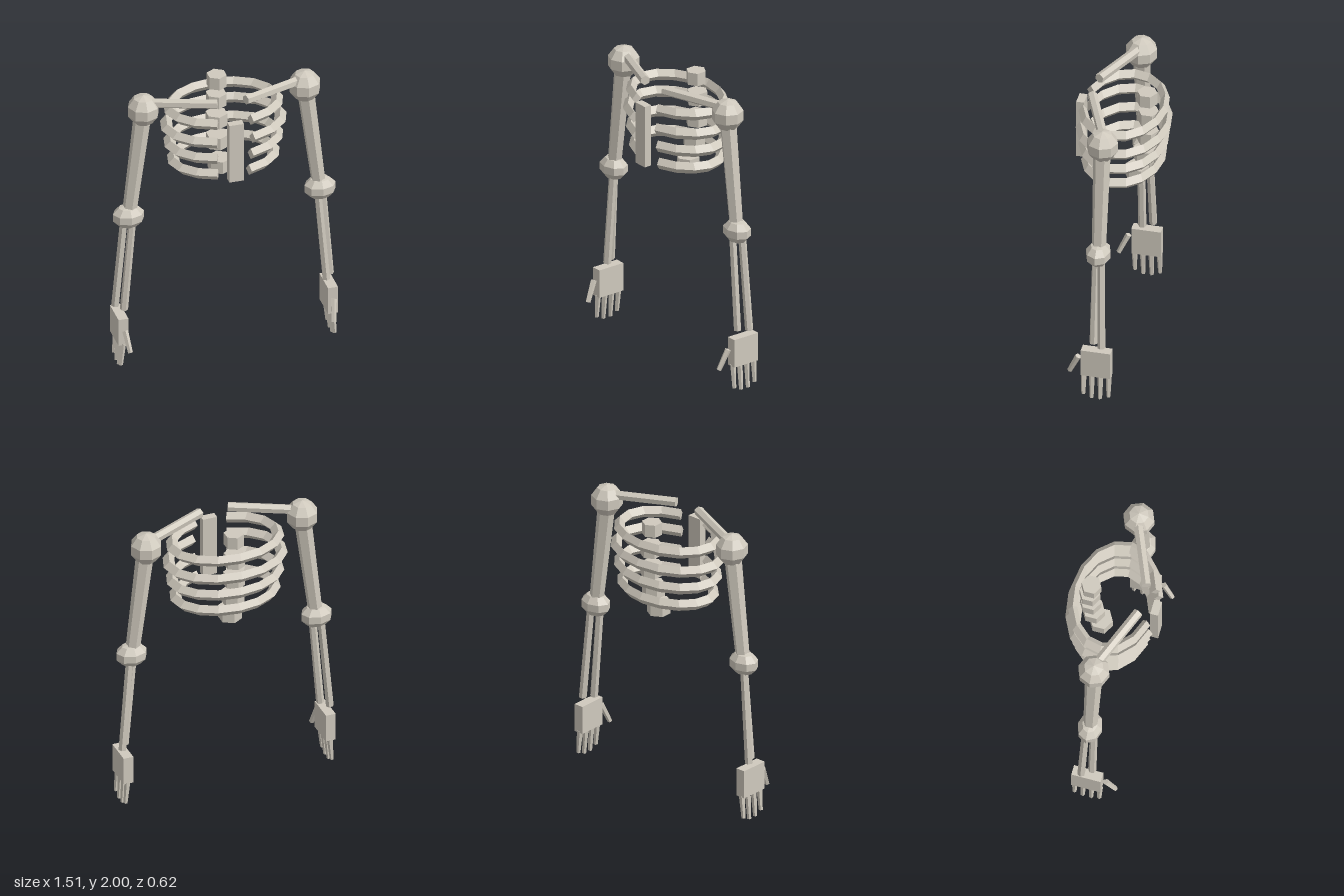
import * as THREE from 'three';
import { mergeGeometries } from 'three/addons/utils/BufferGeometryUtils.js';

const bone = new THREE.MeshStandardMaterial({ color: 0xcfc9bd });
bone.name = 'bone';

// Sharp facets: split vertices so every face keeps its own normal
function addMesh(parent, name, geometry) {
  const flat = geometry.index ? geometry.toNonIndexed() : geometry;
  flat.computeVertexNormals();
  const mesh = new THREE.Mesh(flat, bone);
  mesh.name = name;
  parent.add(mesh);
  return mesh;
}

// Tapered prism running from point a to point b
function addShaft(parent, name, a, b, ra, rb, sides = 6) {
  const from = new THREE.Vector3(...a), to = new THREE.Vector3(...b);
  const dir = to.clone().sub(from);
  const mesh = addMesh(parent, name, new THREE.CylinderGeometry(rb, ra, dir.length(), sides));
  mesh.position.copy(from).add(to).multiplyScalar(0.5);
  mesh.quaternion.setFromUnitVectors(new THREE.Vector3(0, 1, 0), dir.normalize());
  return mesh;
}

function addJoint(parent, name, pos, rx, ry, rz) {
  const g = new THREE.SphereGeometry(1, 8, 5).scale(rx, ry, rz);
  addMesh(parent, name, g).position.set(...pos);
}

// Diamond-section hoop, open at the front, with closed ends
function ribGeometry(outerX, outerZ) {
  const tube = 0.04, R = outerX - tube, arc = Math.PI * 1.8;
  const start = new THREE.CircleGeometry(tube, 4).rotateX(Math.PI / 2).translate(R, 0, 0);
  const end = new THREE.CircleGeometry(tube, 4).rotateX(-Math.PI / 2).translate(R, 0, 0).rotateZ(arc);
  return mergeGeometries([new THREE.TorusGeometry(R, tube, 4, 14, arc), start, end])
    .rotateZ(Math.PI * 0.6)
    .rotateX(Math.PI / 2)
    .scale(1, 1, outerZ / outerX);
}

// One arm; s = 1 for the left side, -1 for the right
function makeArm(s) {
  const arm = new THREE.Group();
  arm.name = s > 0 ? 'leftArm' : 'rightArm';

  addShaft(arm, 'clavicle', [s * 0.52, 1.935, 0.015], [s * 0.097, 1.955, 0.19], 0.033, 0.033);
  addJoint(arm, 'shoulder', [s * 0.548, 1.89, 0.014], 0.11, 0.11, 0.11);
  addShaft(arm, 'upperArm', [s * 0.55, 1.88, 0.016], [s * 0.645, 1.11, 0.016], 0.059, 0.047);
  addJoint(arm, 'elbow', [s * 0.65, 1.1, 0.017], 0.111, 0.082, 0.086);

  // Two forearm bones side by side
  addShaft(arm, 'forearmOuter', [s * 0.67, 1.1, -0.006], [s * 0.729, 0.41, -0.021], 0.026, 0.027);
  addShaft(arm, 'forearmInner', [s * 0.628, 1.1, 0.038], [s * 0.687, 0.41, 0.042], 0.026, 0.027);

  // Hand
  const hand = new THREE.Group();
  hand.name = 'hand';
  arm.add(hand);
  addMesh(hand, 'palm', new THREE.BoxGeometry(0.068, 0.196, 0.198)).position.set(s * 0.711, 0.279, 0.015);
  [0.1, 0.045, -0.012, -0.068].forEach((z, i) => {
    const tip = i === 0 || i === 3 ? 0.027 : 0.003;
    addShaft(hand, 'finger', [s * 0.711, 0.19, z], [s * 0.725, tip, z], 0.021, 0.014, 5);
  });
  addShaft(hand, 'thumb', [s * 0.708, 0.305, 0.138], [s * 0.69, 0.17, 0.2], 0.021, 0.017, 5);
  return arm;
}

export function createModel() {
  const model = new THREE.Group();
  model.name = 'upperSkeleton';

  // Spine, slightly curved, growing towards the bottom
  const spine = new THREE.Group();
  spine.name = 'spine';
  [-0.155, -0.165, -0.16, -0.14, -0.089].forEach((z, i) => {
    const r = 0.067 + i * 0.003;
    addMesh(spine, 'vertebra', new THREE.CylinderGeometry(r, r, 0.088, 6))
      .position.set(0, 1.926 - i * 0.148, z);
  });
  model.add(spine);

  // Rib cage
  const cage = new THREE.Group();
  cage.name = 'ribCage';
  [[0.402, 0.292, 1.837], [0.425, 0.31, 1.708], [0.402, 0.292, 1.577], [0.378, 0.275, 1.448]]
    .forEach(([x, z, y]) => {
      addMesh(cage, 'rib', ribGeometry(x, z)).position.y = y;
    });
  addMesh(cage, 'sternum', new THREE.BoxGeometry(0.1, 0.43, 0.053)).position.set(0, 1.635, 0.283);
  model.add(cage);

  for (const s of [1, -1]) model.add(makeArm(s));
  return model;
}
